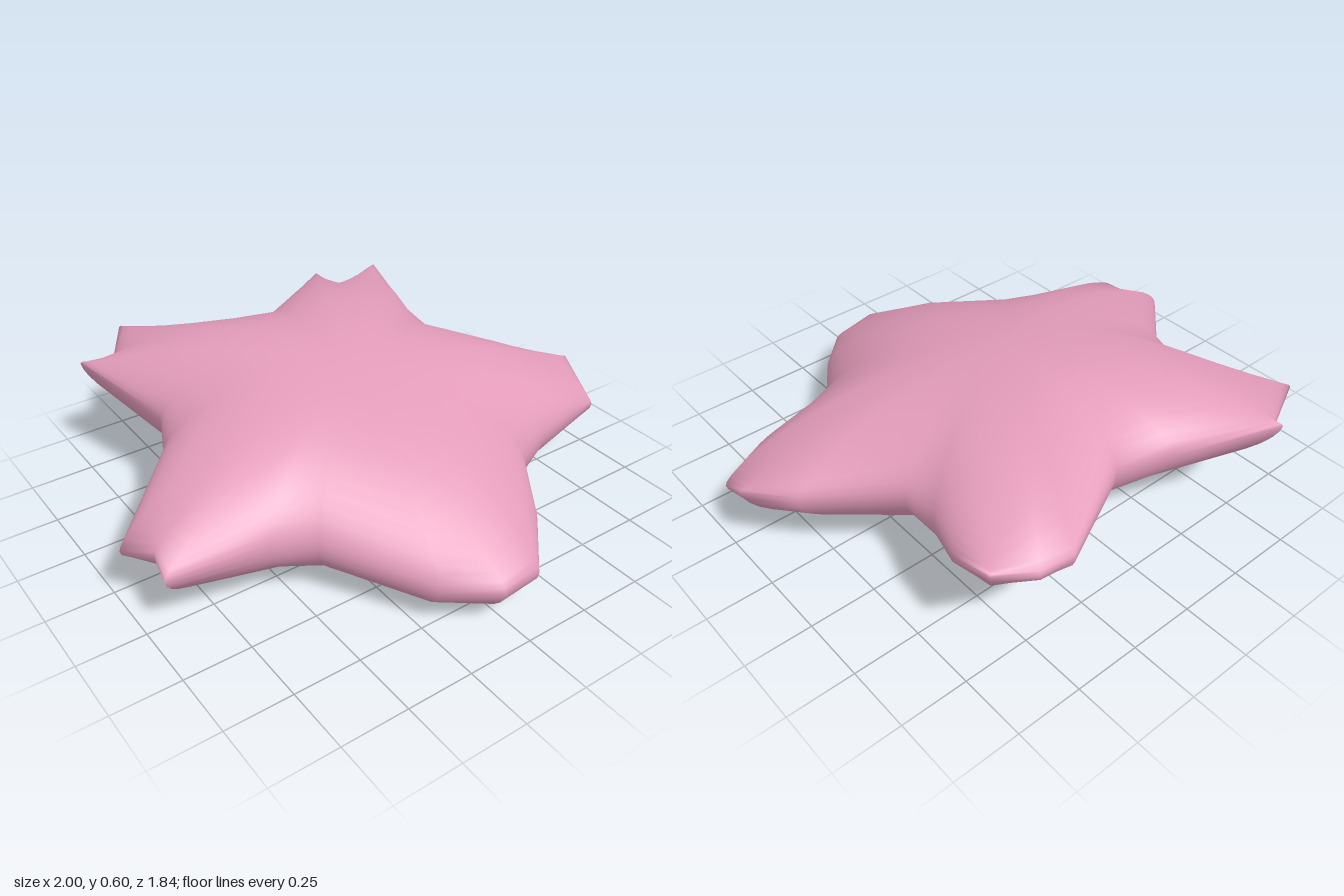
import * as THREE from 'three';
import { mergeVertices } from 'three/addons/utils/BufferGeometryUtils.js';

// Star outline seen from above, counter-clockwise: [x, z, lift of the rim]
const OUTLINE = [
  [-0.05, 0.92, 0.03], [0.13, 0.89, 0], [0.29, 0.71, 0], [0.44, 0.48, 0],
  [0.62, 0.40, 0], [0.82, 0.36, 0], [0.97, 0.31, -0.04], [1.0, 0.12, 0.045],
  [0.87, -0.02, 0], [0.61, -0.27, 0], [0.63, -0.45, 0], [0.68, -0.60, 0],
  [0.70, -0.81, 0.06], [0.52, -0.83, -0.05], [0.45, -0.90, 0.03], [0.05, -0.68, 0],
  [-0.15, -0.74, 0], [-0.49, -0.92, 0.04], [-0.57, -0.84, -0.05], [-0.72, -0.78, 0.03],
  [-0.60, -0.36, 0], [-0.68, -0.19, 0], [-1.0, 0.11, -0.035], [-0.93, 0.22, 0],
  [-0.95, 0.33, 0], [-0.60, 0.38, 0], [-0.45, 0.45, 0], [-0.22, 0.79, 0],
];
const RINGS = 28;

// Height of the tilted, slightly bowed middle surface
const middle = (z) => 0.305 - 0.165 * z - 0.02 * z * z;

// Puffy body: scaled outlines from the top pole to the bottom pole.
// A round dome sets the thickness, and it closes softly towards the star rim.
function starGeometry() {
  const n = OUTLINE.length;
  const positions = [];
  const index = [];
  for (let j = 0; j <= RINGS; j++) {
    const t = (j / RINGS) * Math.PI;
    const s = j === RINGS ? 0 : Math.sin(t);
    const rim = Math.cos(t) * Math.sqrt(1 + s * s);
    const fall = j < RINGS / 2 ? 0.66 : 0.48;
    for (const [x, z, lift] of OUTLINE) {
      const dome = 0.262 * (1 - fall * s * s * (x * x + z * z));
      positions.push(x * s, middle(z * s) + dome * rim + lift * s ** 14, z * s);
    }
  }
  for (let j = 0; j < RINGS; j++) {
    for (let i = 0; i < n; i++) {
      const k = (i + 1) % n;
      const a = j * n + i, b = j * n + k, c = a + n, d = b + n;
      if (j < RINGS - 1) index.push(c, d, b);
      if (j > 0) index.push(c, b, a);
    }
  }
  let geometry = new THREE.BufferGeometry();
  geometry.setAttribute('position', new THREE.Float32BufferAttribute(positions, 3));
  geometry.setIndex(index);
  geometry = mergeVertices(geometry, 1e-4);
  geometry.computeBoundingBox();
  geometry.translate(0, -geometry.boundingBox.min.y, 0);
  geometry.computeVertexNormals();
  return geometry;
}

export function createModel() {
  const group = new THREE.Group();
  group.name = 'star';
  const pink = new THREE.MeshStandardMaterial({ color: 0xe39cba });
  pink.name = 'pink';
  const body = new THREE.Mesh(starGeometry(), pink);
  body.name = 'starBody';
  group.add(body);
  return group;
}
